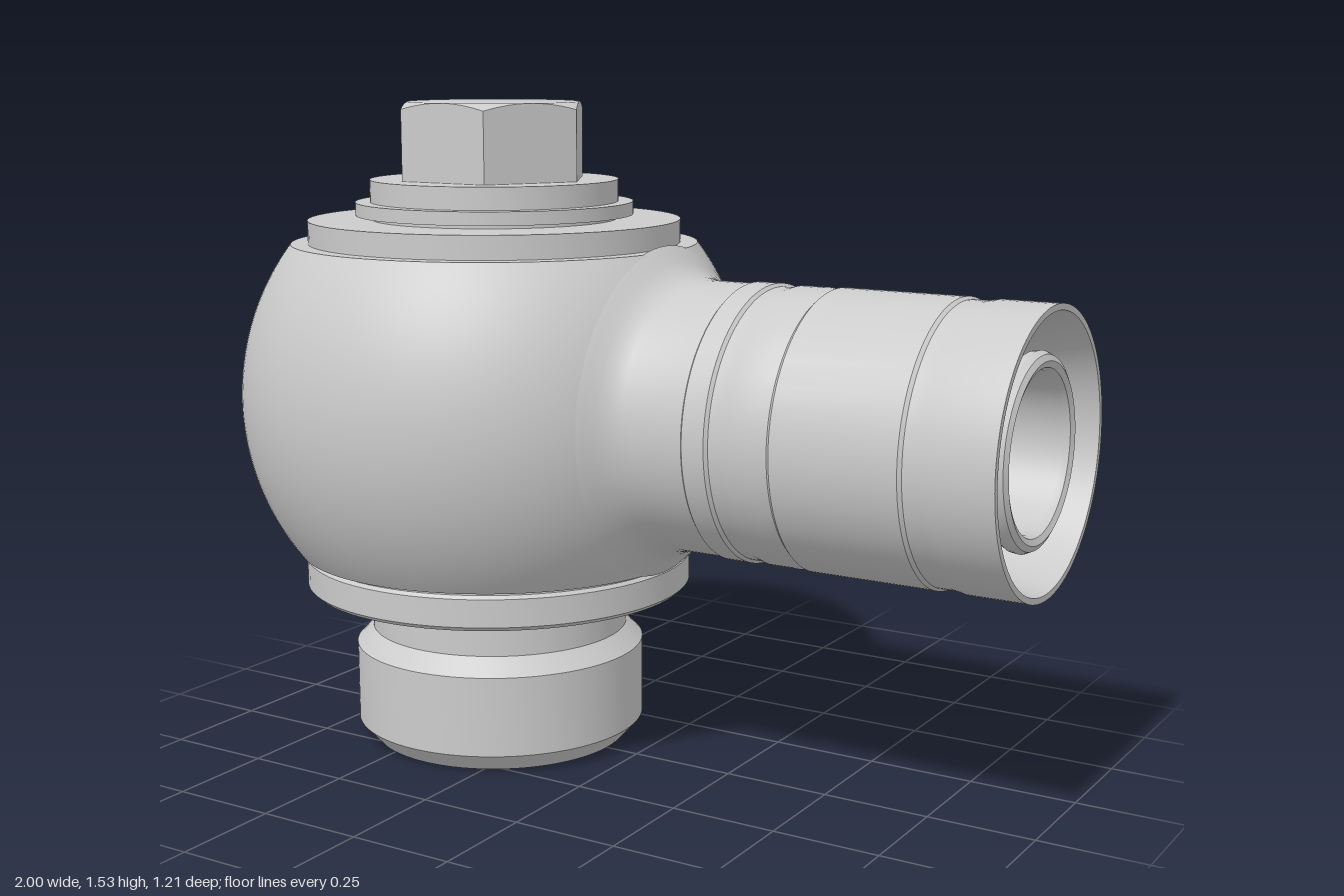
import * as THREE from 'three';
import { toCreasedNormals } from 'three/addons/utils/BufferGeometryUtils.js';

const AXIS_X = -0.395; // vertical axis of the body and bolt
const MID_Y = 0.84;    // height of the arm axis
const R = 0.605;       // body sphere radius

const material = new THREE.MeshStandardMaterial({ color: 0xcccccc });

// Turned geometry from [radius, height] pairs; the seam faces the arm
function turned(points, segments = 80, start = Math.PI / 2, length = Math.PI * 2) {
  return new THREE.LatheGeometry(points.map(([r, y]) => new THREE.Vector2(r, y)), segments, start, length);
}

// Apply a rule to each vertex
function reshape(geometry, rule) {
  const p = geometry.attributes.position;
  const v = new THREE.Vector3();
  for (let i = 0; i < p.count; i++) {
    v.fromBufferAttribute(p, i);
    rule(v);
    p.setXYZ(i, v.x, v.y, v.z);
  }
  return geometry;
}

// Round dent on the -x side, slightly toward the front
function dent(radius, depth) {
  return (v) => {
    const d = Math.hypot(v.y - MID_Y, v.z - 0.13) / radius;
    if (v.x < 0 && d < 1) v.x += depth * (1 - d * d);
  };
}

function part(name, geometry) {
  const mesh = new THREE.Mesh(toCreasedNormals(geometry, 0.5), material);
  mesh.name = name;
  return mesh;
}

export function createModel() {
  const model = new THREE.Group();
  model.name = 'swivelFitting';
  const column = new THREE.Group();
  column.name = 'column';
  column.position.x = AXIS_X;
  model.add(column);

  // Spherical body cut flat at the top and bottom
  const cut = Math.asin(0.3675 / R);
  const profile = [[0.25, MID_Y - 0.3675]];
  for (let i = 0; i <= 48; i++) {
    const a = -cut + (2 * cut * i) / 48;
    profile.push([R * Math.cos(a), MID_Y + R * Math.sin(a)]);
  }
  profile.push([0, MID_Y + 0.3675]);
  column.add(part('body', reshape(turned(profile, 128), dent(0.065, 0.02))));

  // Hollow threaded end with its neck and lower washer
  column.add(part('threadedEnd', turned([
    [0.2, 0.67], [0.27, 0], [0.31, 0], [0.35, 0.045], [0.35, 0.235],
    [0.31, 0.275], [0.31, 0.385], [0.25, 0.385],
  ])));
  column.add(part('lowerWasher', turned([
    [0.3, 0.38], [0.455, 0.38], [0.465, 0.39], [0.465, 0.455], [0.458, 0.463], [0.458, 0.475],
  ])));

  // Stacked washers under the bolt head
  column.add(part('upperWashers', turned([
    [0.44, 1.2], [0.44, 1.262], [0.29, 1.262], [0.29, 1.272], [0.328, 1.272],
    [0.328, 1.303], [0.293, 1.303], [0.293, 1.355], [0, 1.355],
  ])));

  // Hexagonal bolt head with chamfered corners
  const flat = 0.202;
  const head = turned([[flat, 1.35], [flat, 1.53], [flat, 1.535], [0, 1.535]], 48);
  column.add(part('boltHead', reshape(head, (v) => {
    if (v.y > 1.534) return;
    const a = Math.atan2(v.z, v.x) + Math.PI * 2 + 1e-6;
    const k = 1 / Math.cos((a % (Math.PI / 3)) - Math.PI / 6);
    v.x *= k;
    v.z *= k;
    if (v.y > 1.5) v.y = 1.535 - flat * (k - 1) * 0.5;
  })));

  // Inner chamber, open toward the arm, with a side port in its wall
  const wall = [];
  for (let i = 0; i <= 24; i++) wall.push([0.2, 0.98 - (0.31 * i) / 24]);
  wall.push([0.2, 0.66]);
  const gap = 1.0;
  column.add(part('chamberWall', reshape(
    turned(wall, 72, Math.PI / 2 + gap, Math.PI * 2 - 2 * gap), dent(0.07, -0.1))));
  column.add(part('chamberRoof', turned([[0, 0.98], [0.21, 0.98]])));

  // Side arm: fillet, grooved sleeve, recessed socket and inner tube
  const arm = part('sideArm', turned([
    [0.38, 0.075], [0.365, 0.09], [0.345, 0.107], [0.327, 0.128], [0.314, 0.152], [0.308, 0.18],
    [0.308, 0.298], [0.312, 0.302], [0.312, 0.355], [0.305, 0.362], [0.305, 0.39],
    [0.31, 0.41], [0.31, 0.47], [0.305, 0.5], [0.312, 0.508], [0.312, 0.795], [0.306, 0.803],
    [0.306, 0.84], [0.311, 0.87], [0.311, 1], [0.297, 1], [0.275, 0.9], [0.275, 0.8],
    [0.2, 0.8], [0.2, 0.93], [0.21, 0.945], [0.212, 0.96], [0.205, 0.975], [0.192, 0.982],
    [0.178, 0.976], [0.171, 0.96], [0.171, -0.29],
  ], 96));
  arm.rotation.z = -Math.PI / 2;
  arm.position.y = MID_Y;
  model.add(arm);

  return model;
}
